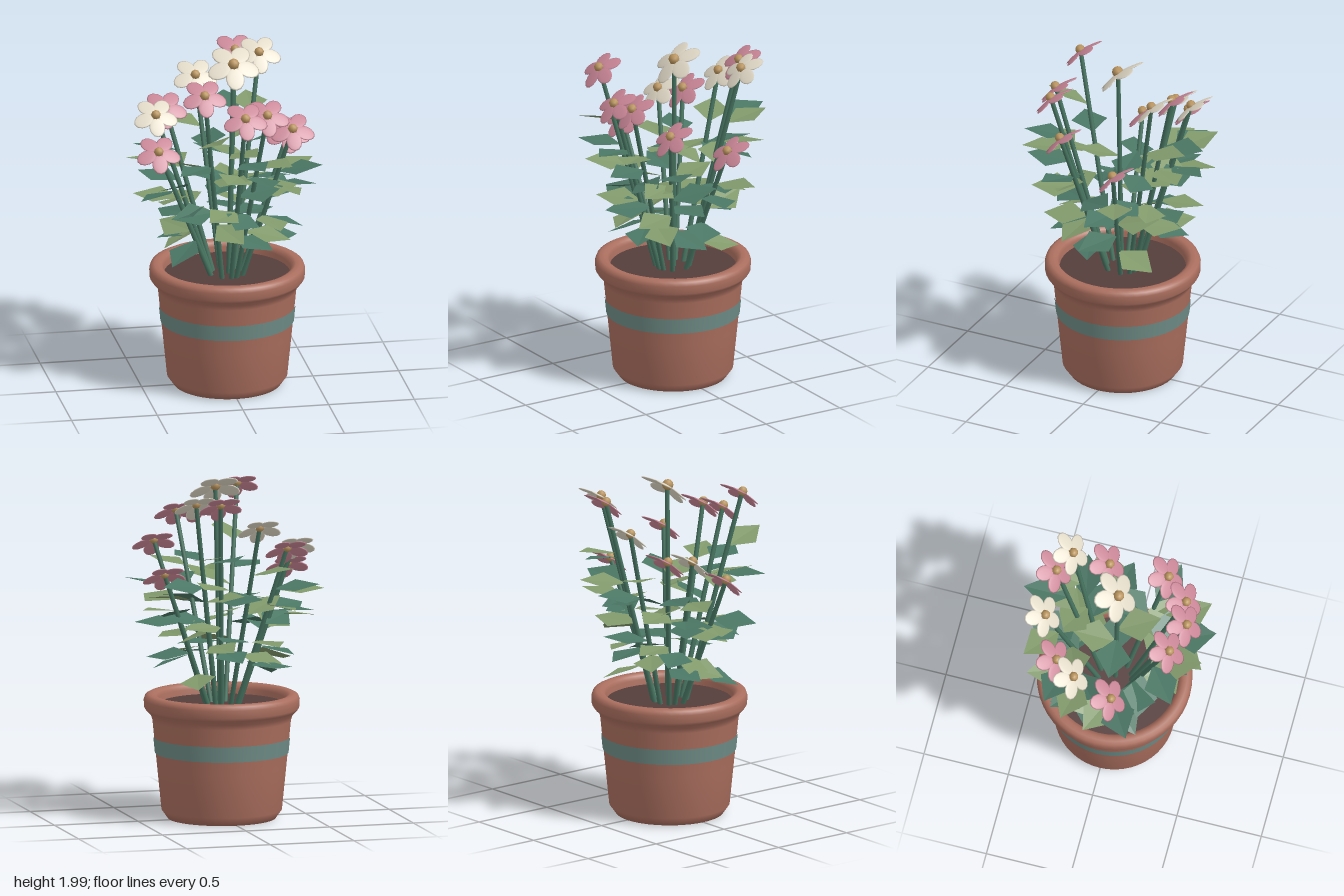
import * as THREE from 'three';

const material = (name, color, extra = {}) => {
  const m = new THREE.MeshStandardMaterial({ color, ...extra });
  m.name = name;
  return m;
};

function createMaterials() {
  const double = { side: THREE.DoubleSide };
  return {
    pot: material('terracotta', 0xaa6e5e),
    band: material('teal band', 0x6f8c86),
    soil: material('soil', 0x553e3c),
    stem: material('stem green', 0x467360),
    light: material('light leaf', 0x829a6c, double),
    dark: material('dark leaf', 0x4b7765, double),
    pink: material('pink petal', 0xca8697),
    cream: material('cream petal', 0xe2dac8),
    gold: material('flower centre', 0xb8935c),
  };
}

const lathe = (points) =>
  new THREE.LatheGeometry(points.map(([r, y]) => new THREE.Vector2(r, y)), 48);

function add(parent, name, geometry, mat) {
  const mesh = new THREE.Mesh(geometry, mat);
  mesh.name = name;
  parent.add(mesh);
  return mesh;
}

// Kite-shaped leaf with a slight fold along its midrib, growing along +x
function leafGeometry() {
  const g = new THREE.BufferGeometry();
  const p = [[0, 0, 0], [0.125, 0.01, 0.105], [0.265, 0, 0], [0.125, 0.01, -0.105]];
  const faces = [0, 1, 2, 0, 2, 3];
  g.setAttribute('position', new THREE.Float32BufferAttribute(faces.flatMap((i) => p[i]), 3));
  g.computeVertexNormals();
  return g;
}

// Flower positions: x, y, z, petal colour, size
const FLOWERS = [
  [0.38, 1.45, -0.13, 'pink', 1],
  [0.34, 1.595, 0.23, 'pink', 1],
  [0.165, 1.74, 0.38, 'pink', 1],
  [0.03, 1.74, 0.418, 'pink', 1],
  [-0.2, 1.88, 0.375, 'pink', 1],
  [-0.415, 1.45, 0.083, 'pink', 1],
  [-0.39, 1.595, -0.144, 'cream', 1],
  [-0.313, 1.595, -0.265, 'pink', 1],
  [-0.116, 1.74, -0.382, 'cream', 1],
  [0.115, 1.88, -0.376, 'pink', 1],
  [0.243, 1.88, -0.31, 'cream', 1],
  [0.035, 1.93, 0.012, 'cream', 1.18],
];

export function createModel() {
  const model = new THREE.Group();
  model.name = 'pottedFlowers';
  const mats = createMaterials();

  let seed = 7;
  const jitter = (amount) => {
    seed = (seed * 16807) % 2147483647;
    return (seed / 2147483647 * 2 - 1) * amount;
  };

  // Pot
  const pot = new THREE.Group();
  pot.name = 'pot';
  model.add(pot);
  add(pot, 'potBody', lathe([[0, 0], [0.31, 0], [0.346, 0.05], [0.371, 0.3],
    [0.398, 0.57], [0.408, 0.6], [0.435, 0.628], [0.446, 0.645], [0.448, 0.69],
    [0.44, 0.712], [0.42, 0.722], [0.395, 0.722], [0.375, 0.712],
    [0.366, 0.69], [0.36, 0.63]]), mats.pot);
  add(pot, 'paintedBand', lathe([[0.384, 0.38], [0.393, 0.472]]), mats.band);
  const soil = add(pot, 'soil', new THREE.CircleGeometry(0.366, 48), mats.soil);
  soil.rotation.x = -Math.PI / 2;
  soil.position.y = 0.66;

  // Shared plant pieces; petals droop away from the flower centre
  const leafShape = leafGeometry();
  const petalShape = new THREE.SphereGeometry(1, 12, 6);
  petalShape.scale(0.046, 0.005, 0.06);
  petalShape.translate(0, 0, 0.075);
  petalShape.rotateX(0.21);
  const centreShape = new THREE.SphereGeometry(0.028, 8, 6);
  const up = new THREE.Vector3(0, 1, 0);

  FLOWERS.forEach(([x, y, z, colour, size], i) => {
    const plant = new THREE.Group();
    plant.name = 'flowerPlant' + (i + 1);
    model.add(plant);
    const head = new THREE.Vector3(x, y, z);
    const base = new THREE.Vector3(x * 0.22, 0.64, z * 0.22);
    const along = head.clone().sub(base);
    const length = along.length();

    // Leaning stem, with its leaves set square to it
    const shoot = new THREE.Group();
    shoot.name = 'shoot';
    shoot.position.copy(base);
    shoot.quaternion.setFromUnitVectors(up, along.normalize());
    plant.add(shoot);
    add(shoot, 'stem', new THREE.CylinderGeometry(0.013, 0.015, length, 8), mats.stem)
      .position.y = length / 2;

    // Leaves fan outward, rising more toward the top
    const central = i === FLOWERS.length - 1;
    const heights = central ? [0.32, 0.4, 0.48, 0.56] : [0.29, 0.4, 0.51, 0.62, 0.72];
    const turns = central ? [0.4, 2.0, 3.6, 5.2] : [0.7, -0.9, 1.5, -0.5, 0.4];
    heights.forEach((t, k) => {
      const leaf = add(shoot, 'leaf', leafShape, (i + k) % 2 ? mats.dark : mats.light);
      leaf.position.y = length * (t + jitter(0.03));
      leaf.rotation.order = 'YZX';
      leaf.rotation.y = -Math.atan2(z, x) + turns[k] + jitter(0.3);
      leaf.rotation.z = 0.05 + (t - 0.29) * 0.9 + jitter(0.1);
      leaf.rotation.x = jitter(0.15);
    });

    // Flower head tilted toward the front
    const flower = new THREE.Group();
    flower.name = 'flowerHead';
    flower.position.copy(head);
    flower.rotation.x = 0.68;
    flower.scale.setScalar(size);
    plant.add(flower);
    for (let k = 0; k < 5; k++) {
      const petal = add(flower, 'petal', petalShape, mats[colour]);
      petal.rotation.y = (k / 5) * Math.PI * 2;
    }
    add(flower, 'flowerCentre', centreShape, mats.gold).position.y = 0.004;
  });

  return model;
}
